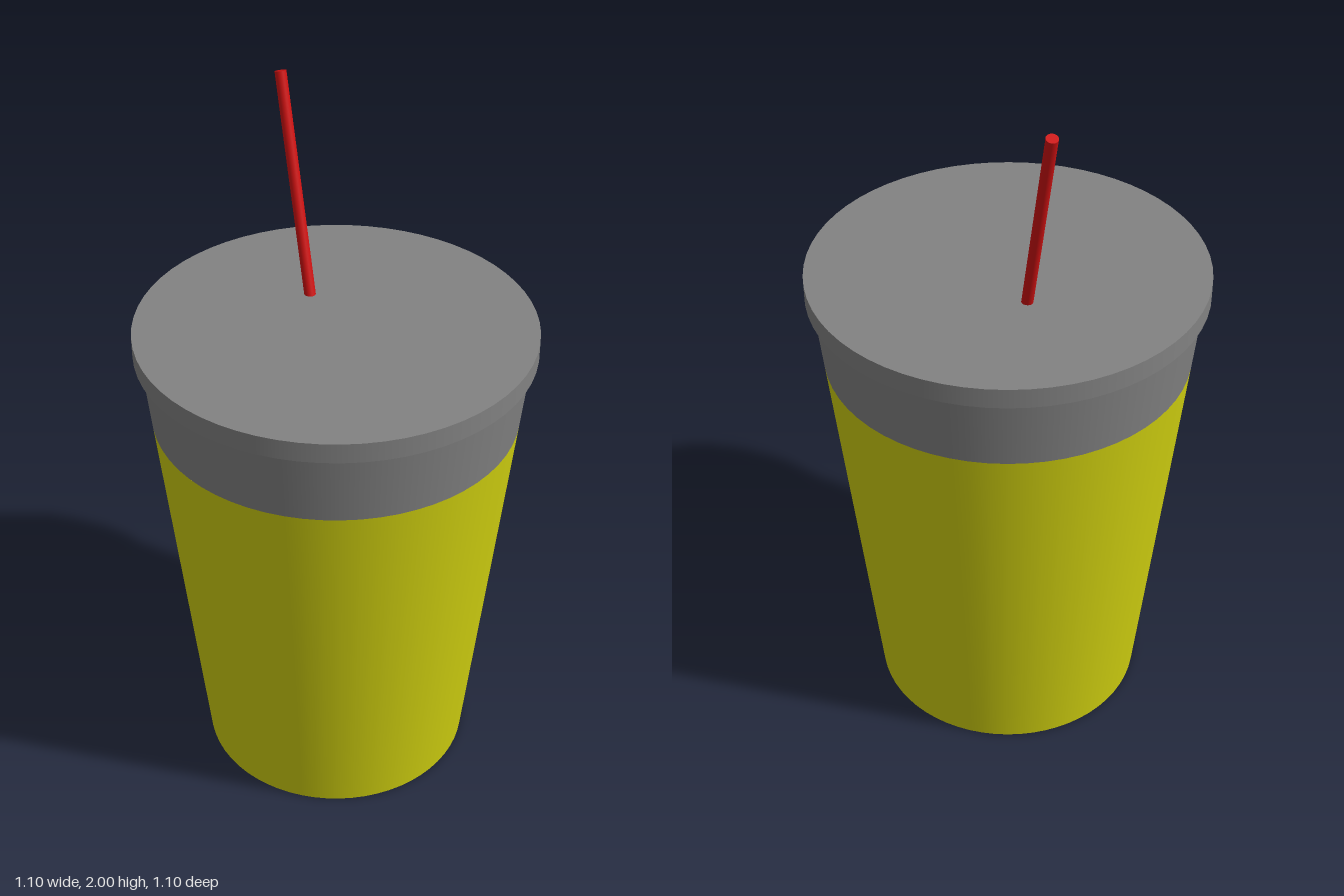
import * as THREE from 'three';

export function createModel() {
  const model = new THREE.Group();
  const paint = (name, color) => {
    const m = new THREE.MeshStandardMaterial({ color });
    m.name = name;
    return m;
  };
  const yellow = paint('yellow', 0xd0d010);
  const grey = paint('grey', 0x828282);
  const red = paint('red', 0xd01212);

  const add = (name, geometry, material) => {
    const mesh = new THREE.Mesh(geometry, material);
    mesh.name = name;
    model.add(mesh);
    return mesh;
  };

  // One continuous taper, split at the colour change
  const bottomR = 0.39, topR = 0.53, bandY = 1.145, rimY = 1.355, topY = 1.412;
  const bandR = bottomR + (topR - bottomR) * bandY / rimY;
  const section = (name, y0, y1, r0, r1, material, open = false) => {
    const mesh = add(name, new THREE.CylinderGeometry(r1, r0, y1 - y0, 64, 1, open), material);
    mesh.position.y = (y0 + y1) / 2;
  };
  section('cupBody', 0, bandY, bottomR, bandR, yellow);
  section('lidSkirt', bandY, rimY, bandR, topR, grey, true);

  // Flat lid disc overhanging the skirt
  section('lidRim', rimY, topY, 0.548, 0.548, grey);

  // Straw leaning backwards, its lower end sunk into the lid
  const foot = new THREE.Vector3(0, 1.38, -0.166);
  const tip = new THREE.Vector3(0, 1.995, -0.361);
  const axis = tip.clone().sub(foot);
  const straw = add('straw', new THREE.CylinderGeometry(0.016, 0.016, axis.length(), 24), red);
  straw.position.copy(foot).add(tip).multiplyScalar(0.5);
  straw.quaternion.setFromUnitVectors(new THREE.Vector3(0, 1, 0), axis.normalize());

  return model;
}
